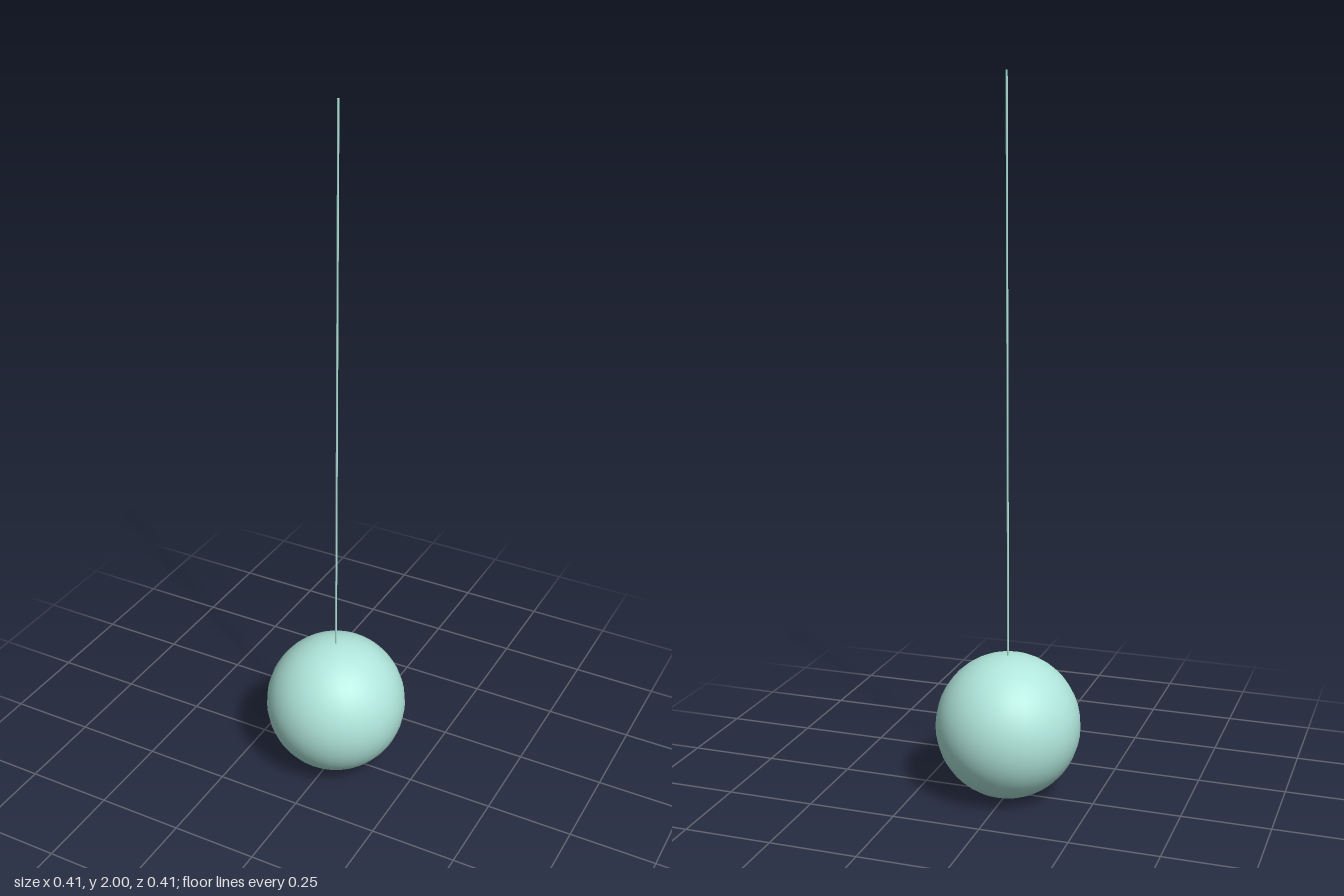
import * as THREE from 'three';

export function createModel() {
  const group = new THREE.Group();
  const material = new THREE.MeshStandardMaterial({ color: 0xb0e6db });
  const radius = 0.205;

  // Smooth round ball resting on the ground
  const ball = new THREE.Mesh(new THREE.SphereGeometry(radius, 32, 24), material);
  ball.name = 'ball';
  ball.position.y = radius;
  group.add(ball);

  // Thin string rising from the ball, leaning slightly to the back
  const path = new THREE.LineCurve3(
    new THREE.Vector3(0, 2 * radius - 0.01, 0),
    new THREE.Vector3(0, 2, -0.012)
  );
  const string = new THREE.Mesh(new THREE.TubeGeometry(path, 1, 0.003, 8), material);
  string.name = 'string';
  group.add(string);

  // Cap closing the upper end of the string
  const cap = new THREE.Mesh(new THREE.CircleGeometry(0.003, 8), material);
  cap.name = 'stringEnd';
  cap.rotation.x = -Math.PI / 2;
  cap.position.set(0, 2, -0.012);
  group.add(cap);

  return group;
}
